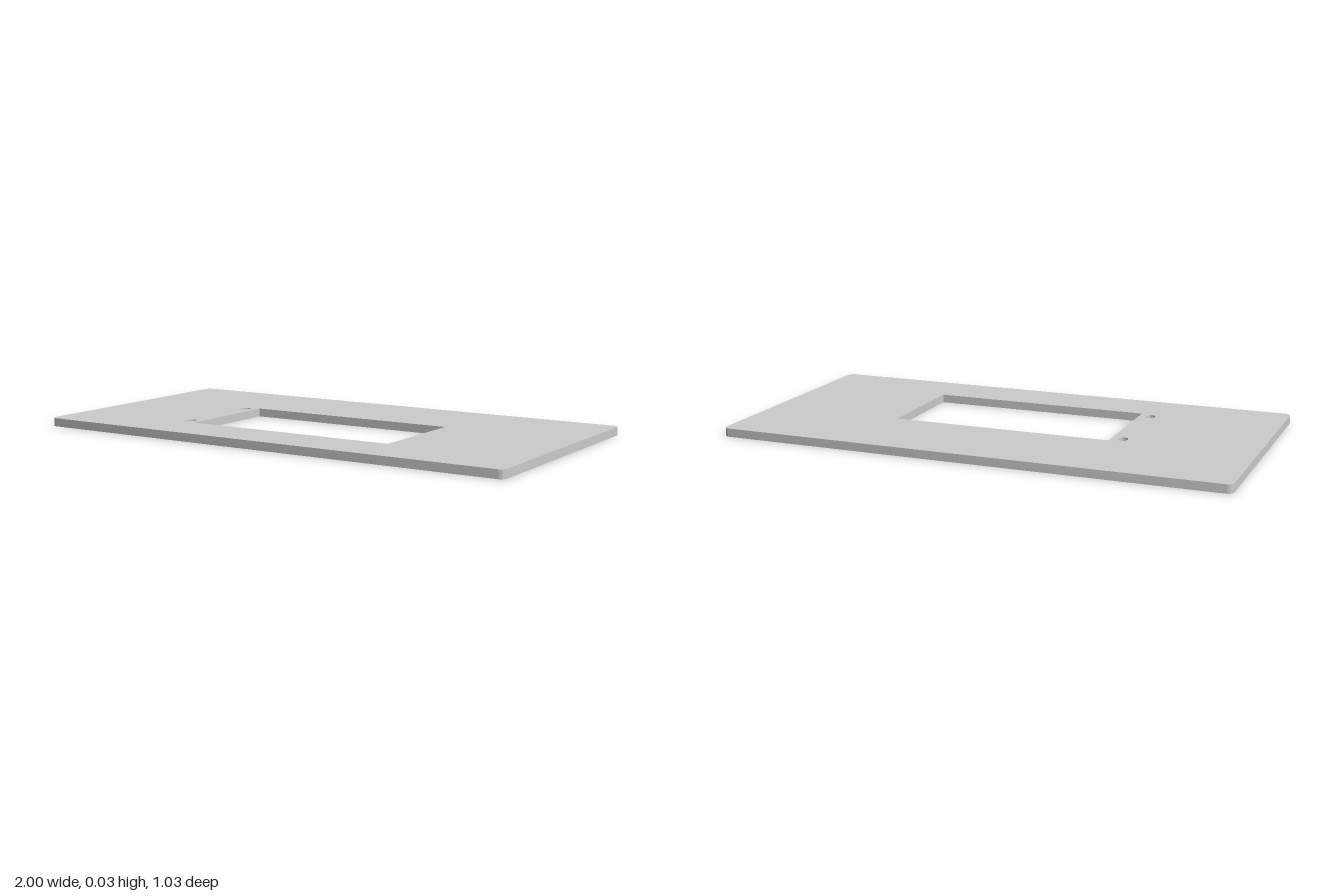
import * as THREE from 'three';
import { toCreasedNormals } from 'three/addons/utils/BufferGeometryUtils.js';

const HALF_DEPTH = 0.516;
const THICKNESS = 0.033;
const CORNER = 0.025;

// Rounded rectangle outline; plan coordinates are x and -z
function roundedRect(path, cx, cy, w, h, r) {
  const x = w / 2 - r, y = h / 2 - r;
  path.absarc(cx + x, cy + y, r, 0, Math.PI / 2);
  path.absarc(cx - x, cy + y, r, Math.PI / 2, Math.PI);
  path.absarc(cx - x, cy - y, r, Math.PI, Math.PI * 1.5);
  path.absarc(cx + x, cy - y, r, Math.PI * 1.5, Math.PI * 2);
  path.closePath();
  return path;
}

export function createModel() {
  const group = new THREE.Group();
  group.name = 'facePlate';

  // Outer plate
  const outline = roundedRect(new THREE.Shape(), 0, 0, 2, HALF_DEPTH * 2, CORNER);

  // Rectangular window
  const left = -0.44, right = 0.44, back = 0.135, front = -0.303;
  outline.holes.push(new THREE.Path([
    new THREE.Vector2(left, front),
    new THREE.Vector2(left, back),
    new THREE.Vector2(right, back),
    new THREE.Vector2(right, front),
    new THREE.Vector2(left, front),
  ]));

  // Pair of mounting slots beside the window
  for (const z of [-0.1, 0.268]) {
    outline.holes.push(roundedRect(new THREE.Path(), -0.486, -z, 0.033, 0.05, 0.0164));
  }

  const geometry = new THREE.ExtrudeGeometry(outline, {
    depth: THICKNESS, bevelEnabled: false, curveSegments: 8,
  });
  geometry.rotateX(-Math.PI / 2);

  const plate = new THREE.Mesh(
    toCreasedNormals(geometry, Math.PI / 6),
    new THREE.MeshStandardMaterial({ color: 0xcccccc }),
  );
  plate.name = 'plate';
  group.add(plate);
  return group;
}
